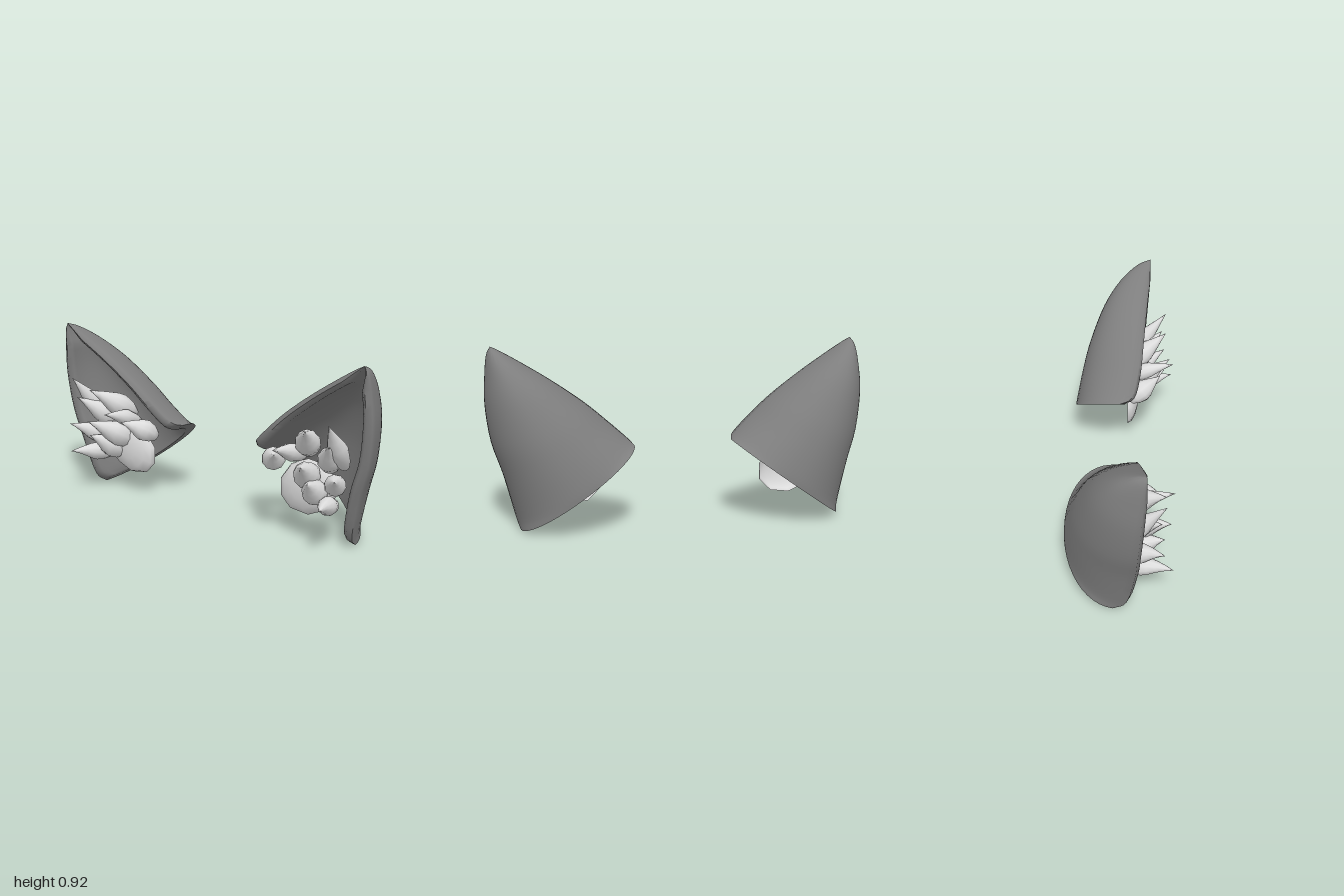
import * as THREE from 'three';
import { toCreasedNormals } from 'three/addons/utils/BufferGeometryUtils.js';

const furDark = new THREE.MeshStandardMaterial({ color: 0x7e7e7e });
furDark.name = 'dark fur';
const furLight = new THREE.MeshStandardMaterial({ color: 0xdcdcdc, side: THREE.DoubleSide });
furLight.name = 'light fur';

const V = (x, y, z) => new THREE.Vector3(x, y, z);
const spline = (pts) => new THREE.CatmullRomCurve3(pts.map((p) => V(...p)), false, 'catmullrom', 0.5);

// Guide lines of the ear from base to tip: outer rim, inner rim and back ridge
const outerRim = spline([[0.845, 0, -0.02], [0.865, 0.06, 0.045], [0.92, 0.27, 0.085], [0.975, 0.44, 0.098],
  [1, 0.63, 0.112], [0.995, 0.78, 0.122], [0.983, 0.88, 0.13], [0.962, 0.922, 0.135]]);
const innerRim = spline([[0.26, 0.42, -0.02], [0.285, 0.445, 0.045], [0.38, 0.53, 0.075], [0.5, 0.632, 0.088],
  [0.66, 0.745, 0.102], [0.82, 0.845, 0.118], [0.92, 0.902, 0.13], [0.962, 0.922, 0.135]]);
const backRidge = spline([[0.53, 0.22, -0.272], [0.56, 0.26, -0.266], [0.65, 0.395, -0.235], [0.73, 0.53, -0.195],
  [0.83, 0.7, -0.12], [0.905, 0.82, -0.03], [0.95, 0.895, 0.065], [0.962, 0.922, 0.135]]);

// Hollow shell: each section is an outer arc and an inner arc joined by rounded rims
function shellGeometry() {
  const N = 24, ROWS = 28, loop = 2 * N + 4;
  const pos = [], idx = [];
  for (let r = 0; r <= ROWS; r++) {
    const s = r / ROWS;
    const o = outerRim.getPoint(s), i = innerRim.getPoint(s), b = backRidge.getPoint(s);
    const mid = o.clone().add(i).multiplyScalar(0.5);
    const half = o.clone().sub(mid), deep = b.clone().sub(mid);
    const thick = Math.min(0.055, half.length() * 0.6, deep.length() * 0.6);
    const arc = (t, inset) => {
      const c = Math.cos(t), n = Math.sin(t);
      const kh = 1 - inset / Math.max(half.length(), 1e-4);
      const kd = 1 - inset / Math.max(deep.length(), 1e-4);
      const cs = c < 0 ? -Math.pow(-c, 0.9) : c;
      return mid.clone().addScaledVector(half, cs * kh).addScaledVector(deep, n * kd);
    };
    const rim = (t) => {
      const p = arc(t, thick / 2);
      p.z += thick * 0.3;
      return p;
    };
    const pts = [];
    for (let k = 0; k <= N; k++) pts.push(arc((k / N) * Math.PI, 0));
    pts.push(rim(Math.PI));
    for (let k = N; k >= 0; k--) pts.push(arc((k / N) * Math.PI, thick));
    pts.push(rim(0));
    pts.forEach((p) => pos.push(p.x, p.y, p.z));
  }
  for (let r = 0; r < ROWS; r++) {
    for (let k = 0; k < loop; k++) {
      const a = r * loop + k, b = r * loop + ((k + 1) % loop);
      idx.push(a, b, b + loop, a, b + loop, a + loop);
    }
  }
  // Flat edge around the open base
  for (let k = 0; k < N; k++) {
    const inner = 2 * N + 2 - k;
    idx.push(k + 1, k, inner, k + 1, inner, inner - 1);
  }
  idx.push(N + 2, N + 1, N, 0, 2 * N + 3, 2 * N + 2);
  const g = new THREE.BufferGeometry();
  g.setAttribute('position', new THREE.Float32BufferAttribute(pos, 3));
  g.setIndex(idx);
  return toCreasedNormals(g, 1.15);
}

// Curved lock of fur that swells near the root and narrows to a fine tip
function tuftGeometry(root, tip, radius) {
  const a = V(...root), c = V(...tip);
  const bend = V(a.x * 0.6 + c.x * 0.4, a.y * 0.5 + c.y * 0.5 + 0.025, a.z * 0.4 + c.z * 0.6);
  const curve = new THREE.QuadraticBezierCurve3(a, bend, c);
  const profile = [[0, 0], [0.45, 0.03], [0.8, 0.16], [1, 0.34], [0.88, 0.47], [0.6, 0.62], [0.34, 0.77], [0.14, 0.9], [0, 1]];
  const g = new THREE.LatheGeometry(profile.map(([w, h]) => new THREE.Vector2(w * radius, h)), 10);
  const p = g.attributes.position;
  const q = new THREE.Quaternion();
  for (let n = 0; n < p.count; n++) {
    const t = p.getY(n);
    q.setFromUnitVectors(V(0, 1, 0), curve.getTangent(t));
    const v = V(p.getX(n), 0, p.getZ(n)).applyQuaternion(q).add(curve.getPoint(t));
    p.setXYZ(n, v.x, v.y, v.z);
  }
  return toCreasedNormals(g, 1.2);
}

// Root, tip and radius of every lock
const tufts = [
  [[0.79, 0.38, 0.0], [0.84, 0.645, 0.23], 0.052],
  [[0.59, 0.43, -0.01], [0.71, 0.595, 0.23], 0.064],
  [[0.71, 0.36, -0.01], [0.83, 0.535, 0.21], 0.06],
  [[0.6, 0.275, -0.01], [0.705, 0.425, 0.255], 0.068],
  [[0.76, 0.27, 0.01], [0.875, 0.38, 0.225], 0.054],
  [[0.75, 0.19, 0.02], [0.825, 0.24, 0.27], 0.048],
  [[0.66, 0.205, 0.01], [0.72, 0.34, 0.225], 0.064],
  [[0.55, 0.4, 0.0], [0.555, 0.488, 0.275], 0.045],
  [[0.4, 0.345, 0.03], [0.51, 0.44, 0.2], 0.06],
];

function createEar(name) {
  const ear = new THREE.Group();
  ear.name = name;
  const add = (geometry, material, part) => {
    const mesh = new THREE.Mesh(geometry, material);
    mesh.name = part;
    ear.add(mesh);
    return mesh;
  };
  add(shellGeometry(), furDark, 'earShell');
  // Shallow open dome the locks grow from
  const pad = add(new THREE.SphereGeometry(1, 10, 4, 0, Math.PI * 2, 0, Math.PI / 2), furLight, 'furPad');
  pad.scale.set(0.175, 0.06, 0.14);
  pad.position.set(0.59, 0.255, 0.02);
  pad.rotation.set(Math.PI / 2, 0.4, 0);
  tufts.forEach(([root, tip, radius], n) => add(tuftGeometry(root, tip, radius), furLight, `furTuft${n + 1}`));
  return ear;
}

export function createModel() {
  const model = new THREE.Group();
  model.name = 'animalEars';
  const left = createEar('leftEar');
  const right = createEar('rightEar');
  right.scale.x = -1;
  model.add(left, right);
  return model;
}
